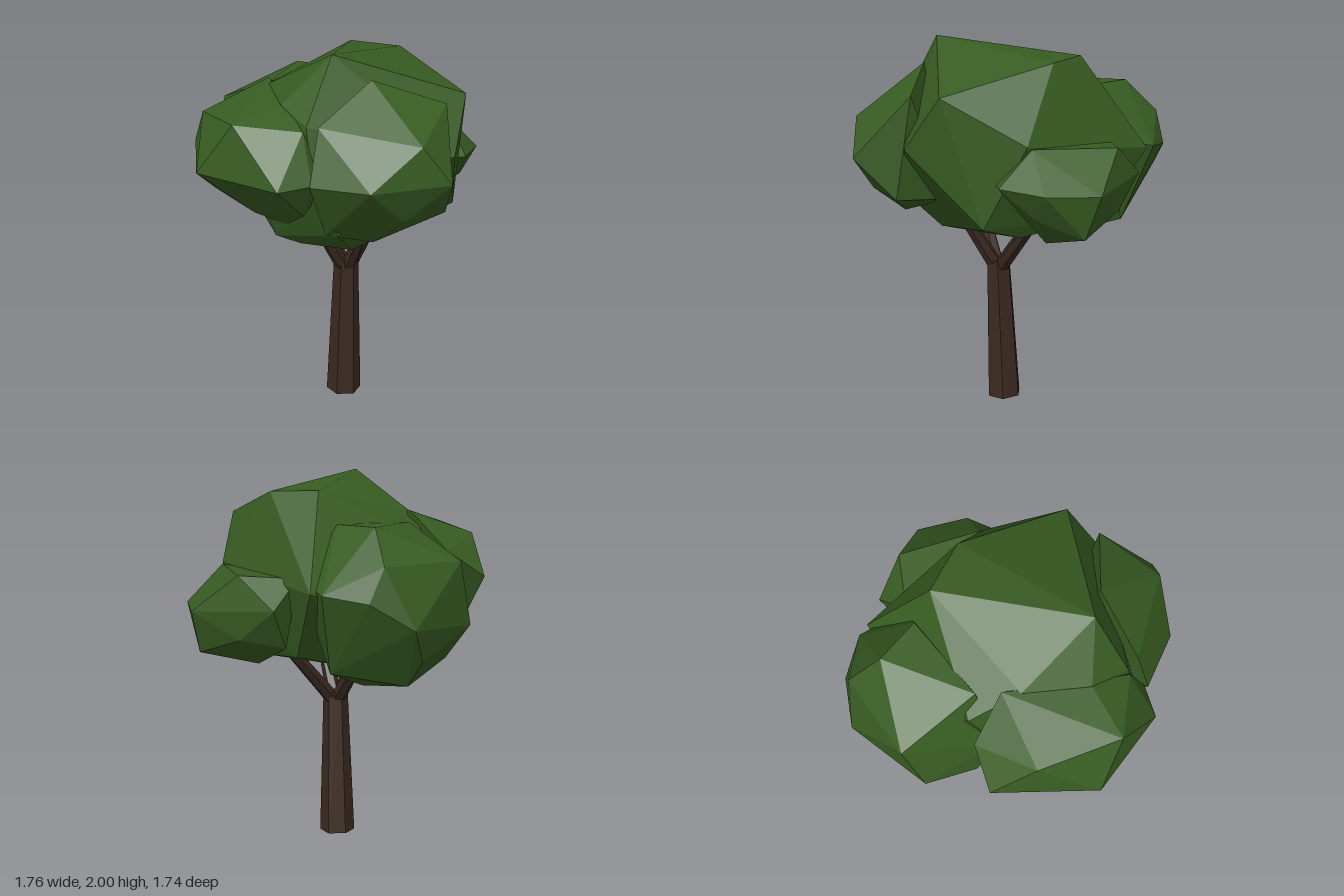
import * as THREE from 'three';
import { ConvexGeometry } from 'three/addons/geometries/ConvexGeometry.js';

const leaf = new THREE.MeshStandardMaterial({ color: 0x375c22 });
leaf.name = 'leafGreen';
const bark = new THREE.MeshStandardMaterial({ color: 0x3b2a20 });
bark.name = 'barkBrown';

// Faceted leaf clump: convex hull of its corner points
function clump(name, corners) {
  const points = corners.map(c => new THREE.Vector3(...c));
  const mesh = new THREE.Mesh(new ConvexGeometry(points), leaf);
  mesh.name = name;
  return mesh;
}

// Flat-faced tapered limb from a to b
function limb(name, a, b, r0, r1, sides) {
  const from = new THREE.Vector3(...a), to = new THREE.Vector3(...b);
  const dir = to.clone().sub(from);
  let geo = new THREE.CylinderGeometry(r1, r0, dir.length(), sides);
  geo.rotateY(Math.PI / 6);
  geo = geo.toNonIndexed();
  geo.computeVertexNormals();
  const mesh = new THREE.Mesh(geo, bark);
  mesh.name = name;
  mesh.position.copy(from).add(to).multiplyScalar(0.5);
  mesh.quaternion.setFromUnitVectors(new THREE.Vector3(0, 1, 0), dir.normalize());
  return mesh;
}

export function createModel() {
  const tree = new THREE.Group();
  tree.name = 'tree';

  // Trunk and the four branches that fork from it
  tree.add(limb('trunk', [0.035, 0.005, 0.003], [0.066, 0.8, 0.01], 0.096, 0.067, 6));
  const tips = [[-0.22, 1.08, 0.03], [0.27, 1.08, 0.03], [0.075, 1.08, 0.22], [0.01, 1.1, -0.32]];
  tips.forEach((tip, i) => {
    const start = [0.066 + (tip[0] - 0.066) * 0.06, 0.76, 0.01 + tip[2] * 0.06];
    tree.add(limb('branch' + (i + 1), start, tip, 0.042, 0.032, 6));
  });

  // Crown: one large clump with four smaller ones around it
  tree.add(clump('mainFoliage', [
    [0.3, 2, 0.27], [-0.27, 1.92, -0.27], [-0.03, 1.91, -0.42], [0.56, 1.77, -0.37],
    [-0.56, 1.45, -0.47], [0.2, 1.54, -0.59], [0.38, 1.12, -0.47], [0.68, 1.5, -0.2],
    [-0.14, 1.79, 0.35], [0.17, 1.76, 0.48], [0.38, 1.69, 0.48], [-0.4, 1.65, 0.3],
    [-0.53, 1.3, 0.1], [0.45, 1.4, 0.49], [0.1, 1.3, 0.56], [-0.25, 1.25, 0.45],
    [0.1, 1.06, 0.48], [0.2, 1.03, 0.4], [0.47, 1.14, 0.36], [0.33, 0.98, 0.17],
    [-0.13, 0.99, 0.15], [-0.36, 1.0, 0], [0.15, 1.04, -0.42], [-0.32, 1.1, -0.42],
  ]));
  tree.add(clump('frontFoliage', [
    [0, 1.44, 0.87], [-0.47, 1.46, 0.61], [0.44, 1.42, 0.69], [0.48, 1.43, 0.52],
    [0.17, 1.7, 0.76], [-0.25, 1.67, 0.68], [-0.22, 1.8, 0.3], [0.17, 1.76, 0.45],
    [0.38, 1.67, 0.5], [-0.43, 1.6, 0.4], [-0.33, 1.22, 0.58], [0.03, 1.18, 0.56],
    [0.2, 1.15, 0.48], [0.38, 1.25, 0.5], [-0.05, 1.2, 0.35], [0.44, 1.42, 0.4],
  ]));
  tree.add(clump('rightSideFoliage', [
    [-0.88, 1.29, -0.08], [-0.79, 1.59, -0.2], [-0.62, 1.76, -0.15], [-0.39, 1.76, -0.23],
    [-0.62, 1.45, -0.44], [-0.79, 1.42, -0.28], [-0.75, 1.59, 0.26], [-0.7, 1.26, 0.36],
    [-0.69, 0.98, 0], [-0.3, 0.91, -0.03], [-0.79, 1.12, 0.02], [-0.43, 1.2, 0.41],
    [-0.6, 1.08, 0.28], [-0.32, 1.75, 0.23], [-0.2, 1.1, 0.25], [-0.5, 1.04, -0.33],
    [-0.35, 1.5, -0.42], [-0.3, 1.4, 0.4],
  ]));
  tree.add(clump('leftSideFoliage', [
    [0.43, 1.88, 0.13], [0.63, 1.76, -0.18], [0.81, 1.63, 0.12], [0.88, 1.44, -0.01],
    [0.74, 1.43, 0.37], [0.49, 1.43, 0.54], [0.45, 1.7, 0.46], [0.53, 1.09, 0.19],
    [0.7, 1.23, -0.13], [0.72, 1.24, 0.15], [0.42, 1.14, 0.4], [0.4, 1.2, -0.1],
  ]));
  tree.add(clump('backFoliage', [
    [-0.05, 1.33, -0.87], [0.21, 1.34, -0.79], [0.35, 1.35, -0.58], [-0.43, 1.36, -0.6],
    [0.18, 1.53, -0.6], [-0.24, 1.52, -0.7], [-0.35, 1.5, -0.43], [0, 1.11, -0.81],
    [-0.25, 1.2, -0.7], [0.2, 1.2, -0.68], [0.03, 1.01, -0.47], [-0.36, 1.16, -0.5],
    [0.3, 1.35, -0.4],
  ]));
  return tree;
}
